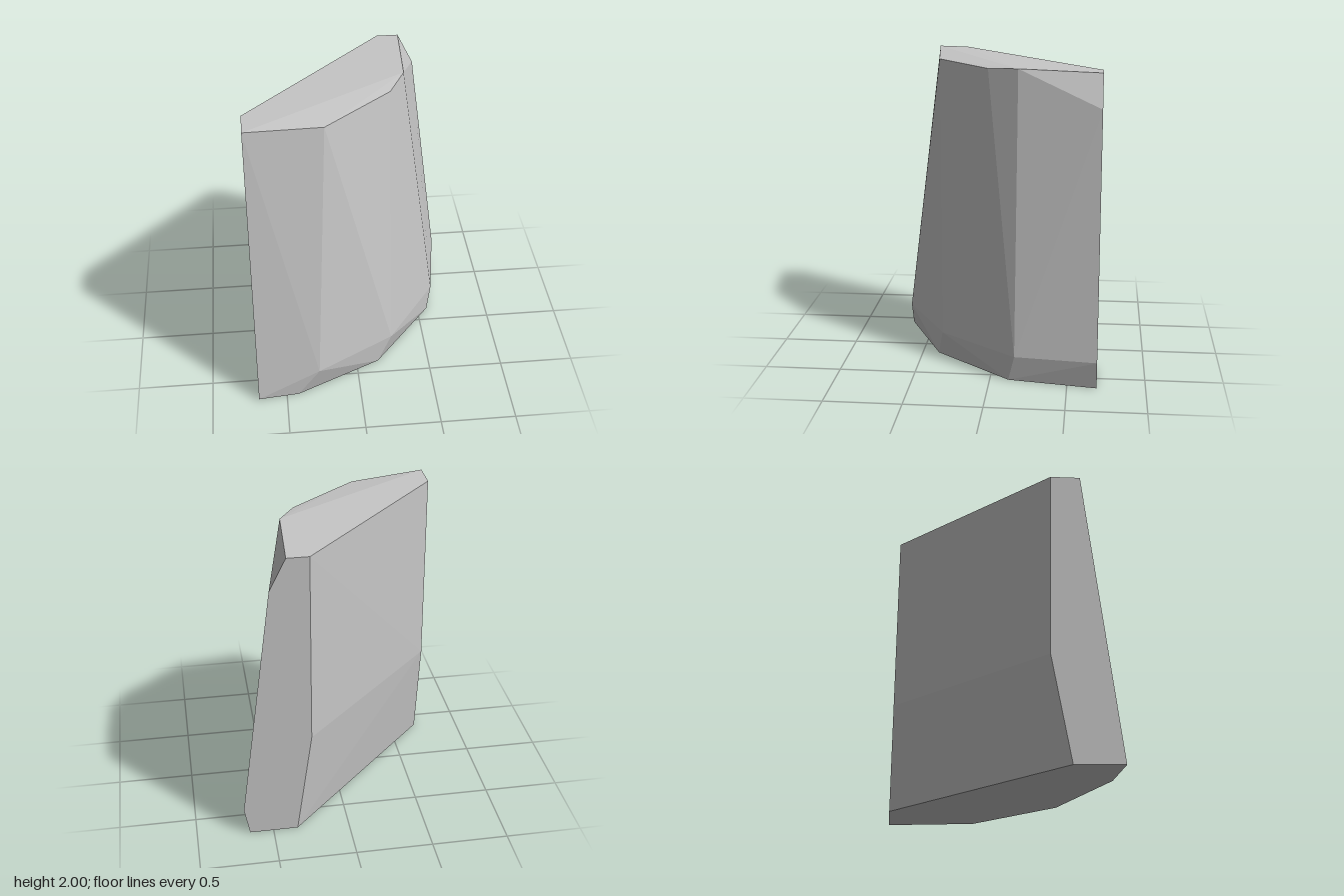
import * as THREE from 'three';
import { ConvexGeometry } from 'three/addons/geometries/ConvexGeometry.js';

export function createModel() {
  const group = new THREE.Group();
  group.name = 'rockSlab';

  const stone = new THREE.MeshStandardMaterial({ color: 0xc6c6c6 });
  stone.name = 'light stone grey';

  // Corner rings of the faceted stone, each corner as x, y, z
  const base = [
    [-0.69, 0.01, 0.69], [-0.42, 0, 0.655], [0.15, 0, 0.39], [0.57, 0, -0.12],
    [0.655, 0, -0.69], [0.34, 0, -0.69], [-0.69, 0, 0.37],
  ];
  const foot = [
    [-0.275, 0.19, 0.645], [0.245, 0.185, 0.35], [0.6, 0.17, -0.16], [0.69, 0.185, -0.69],
  ];
  const backBend = [[0.24, 0.71, -0.69], [-0.69, 0.71, 0.25]];
  const shoulder = [[0.485, 1.76, -0.69]];
  const crown = [
    [-0.69, 2, 0.47], [-0.2, 1.97, 0.41], [0.24, 1.97, 0.04], [0.35, 1.985, -0.16],
    [0.38, 1.97, -0.69], [0.24, 1.97, -0.69], [-0.69, 1.995, 0.275],
  ];

  // The stone is the flat-faceted hull around all rings
  const corners = [...base, ...foot, ...backBend, ...shoulder, ...crown]
    .map((p) => new THREE.Vector3(...p));
  const rock = new THREE.Mesh(new ConvexGeometry(corners), stone);
  rock.name = 'rock';
  group.add(rock);

  return group;
}
